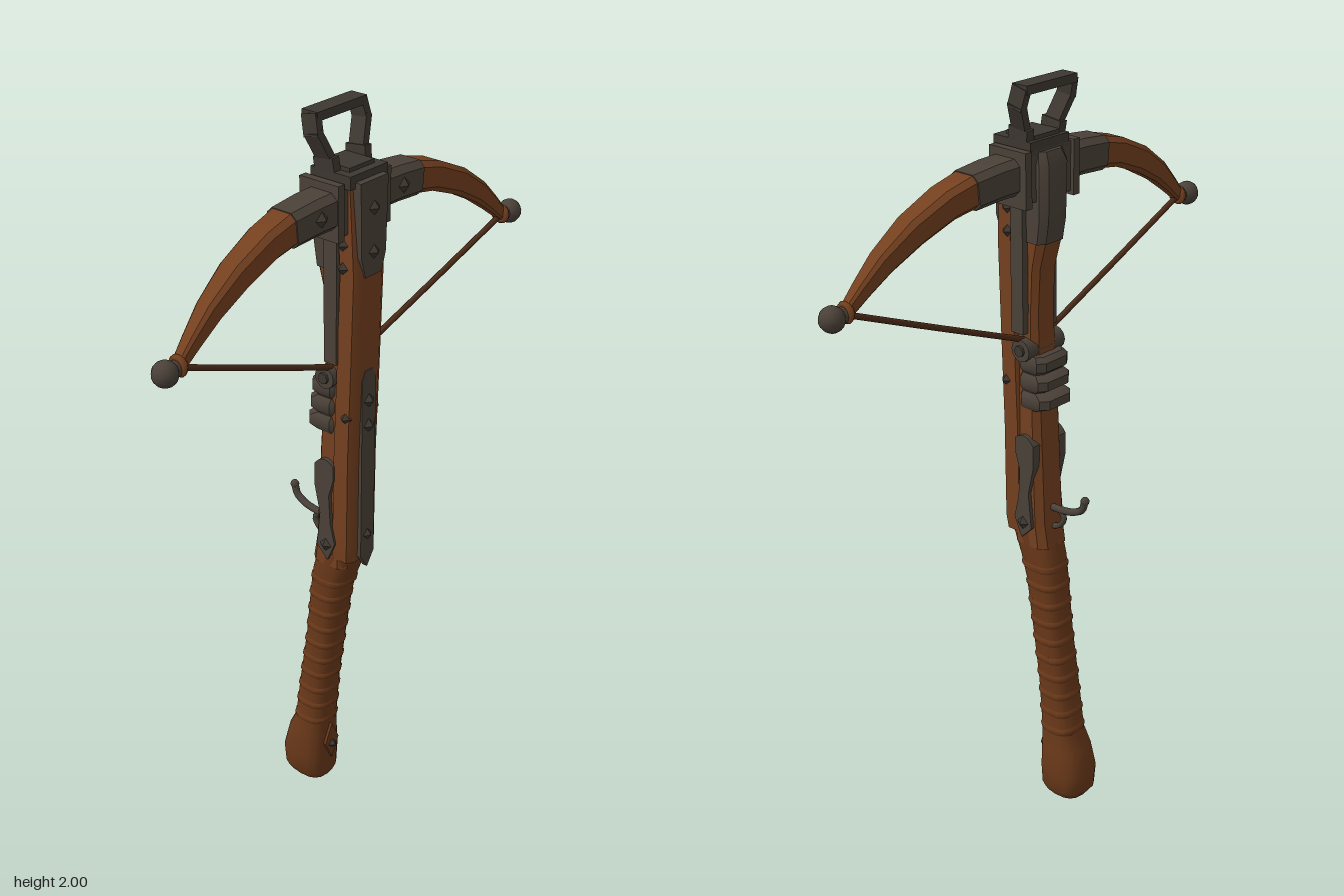
import * as THREE from 'three';
import { toCreasedNormals } from 'three/addons/utils/BufferGeometryUtils.js';

const mat = (name, color) => Object.assign(new THREE.MeshStandardMaterial({ color }), { name });
const V = (x, y, z) => new THREE.Vector3(x, y, z);

// unit cross-sections
const OCT = [[1, -.65], [1, .65], [.65, 1], [-.65, 1], [-1, .65], [-1, -.65], [-.65, -1], [.65, -1]];
const ROUND = Array.from({ length: 16 }, (_, i) => {
  const t = i / 16 * Math.PI * 2, c = Math.cos(t), s = Math.sin(t);
  return [Math.sign(c) * Math.abs(c) ** .75, Math.sign(s) * Math.abs(s) ** .75];
});

// skin a row of rings, closing both ends
function skin(rings, crease = .6) {
  const n = rings[0].length, pos = [], idx = [];
  rings.forEach(r => r.forEach(p => pos.push(p.x, p.y, p.z)));
  for (let i = 0; i < rings.length - 1; i++) for (let j = 0; j < n; j++) {
    const k = (j + 1) % n, a = i * n + j, b = i * n + k;
    idx.push(a, a + n, b, b, a + n, b + n);
  }
  const e = (rings.length - 1) * n;
  for (let j = 1; j < n - 1; j++) idx.push(0, j, j + 1, e, e + j + 1, e + j);
  const g = new THREE.BufferGeometry();
  g.setAttribute('position', new THREE.Float32BufferAttribute(pos, 3));
  g.setIndex(idx);
  return toCreasedNormals(g, crease);
}

// upright loft from rows of [y, front z, back z, half width]
const upright = (rows, shape = OCT) => skin(rows.map(([y, f, b, w]) =>
  shape.map(([u, v]) => V(u * w, y, (f + b) / 2 + v * (f - b) / 2))));

export function createModel() {
  const wood = mat('wood', 0x74401f), grip = mat('grip leather', 0x693819);
  const metal = mat('aged metal', 0x4a4138), dark = mat('dark metal', 0x3e3731);
  const cord = mat('bowstring', 0x4c2b18);
  const model = new THREE.Group();
  model.name = 'crossbow';
  const add = (name, geo, m, x = 0, y = 0, z = 0) => {
    const o = new THREE.Mesh(geo, m);
    o.name = name;
    o.position.set(x, y, z);
    model.add(o);
    return o;
  };
  const box = (name, m, x0, x1, y0, y1, z0, z1) => add(name,
    new THREE.BoxGeometry(x1 - x0, y1 - y0, z1 - z0), m, (x0 + x1) / 2, (y0 + y1) / 2, (z0 + z1) / 2);
  // pointed stud: axis 'z' faces forward, otherwise sideways
  const stud = (x, y, z, axis = 'z', r = .018) => {
    const g = new THREE.CylinderGeometry(.003, r, .016, 4).toNonIndexed();
    g.computeVertexNormals();
    if (axis === 'z') g.rotateX(Math.PI / 2); else g.rotateZ(-Math.sign(x) * Math.PI / 2);
    add('stud', g, dark, x, y, z);
  };

  // handle with flared butt
  const handle = [[0, -.008, -.125, .05], [.02, 0, -.14, .062], [.08, .002, -.144, .066], [.15, .001, -.126, .06],
    [.2, .002, -.102, .053], [.35, .016, -.083, .049], [.5, .037, -.06, .049], [.65, .06, -.045, .05],
    [.72, .08, -.036, .052], [.8, .11, -.014, .054]];
  add('handle', upright(handle, ROUND), grip);
  const at = y => {
    const i = handle.findIndex(r => r[0] > y), a = handle[i - 1], b = handle[i], t = (y - a[0]) / (b[0] - a[0]);
    return a.map((v, k) => v + (b[k] - v) * t);
  };
  for (let y = .21; y < .71; y += .054) {
    const grow = (h, e) => { const [, f, b, w] = at(h); return [h, f + e, b - e, w + e]; };
    add('gripWrap', upright([grow(y - .01, 0), grow(y - .004, .003), grow(y + .004, .003), grow(y + .01, 0)], ROUND), grip);
  }
  const diamond = new THREE.Shape([[0, .07], [.028, .13], [0, .19], [-.028, .13]].map(p => new THREE.Vector2(...p)));
  add('buttPlate', new THREE.ExtrudeGeometry(diamond, { depth: .008, bevelEnabled: false }), grip, 0, 0, .001);
  stud(0, .12, .013);

  // stock: wider front rail over a narrower rear tiller
  add('frontRail', upright([[.79, .113, .045, .052], [.83, .118, .045, .056], [1.1, .12, .05, .056],
    [1.35, .128, .06, .056], [1.6, .135, .07, .056], [1.82, .122, .06, .056]]), wood);
  add('rearTiller', upright([[.76, .09, -.024, .052], [.83, .09, -.012, .052], [1.1, .09, .0, .05],
    [1.3, .09, .01, .046], [1.42, .09, .014, .042], [1.53, .09, .008, .042], [1.62, .09, -.016, .044]]), wood);
  add('rearCap', upright([[1.6, .07, -.014, .047], [1.66, .07, -.024, .048], [1.8, .07, -.026, .05], [1.83, .06, -.012, .04]]), metal);
  for (const s of [-1, 1]) {
    box('upperSideStrip', metal, s * .05 - .012, s * .05 + .012, 1.36, 1.8, .035, .075);
    for (const y of [1.68, 1.62]) stud(s * .062, y, .09, 'x');
    stud(s * .066, .83, .04, 'x', .024);
    stud(s * .06, 1.22, .1, 'x');
  }

  // metal strips along the front
  const strip = new THREE.Shape([[0, .77], [.026, .81], [.026, 1.32], [.014, 1.345], [-.014, 1.345], [-.026, 1.32],
    [-.026, .81]].map(p => new THREE.Vector2(...p)));
  const stripGeo = new THREE.ExtrudeGeometry(strip, { depth: .016, bevelEnabled: false });
  add('frontStrip', stripGeo, metal, 0, 0, .113);
  const headPlate = new THREE.Shape([[-.05, 1.84], [-.045, 1.65], [-.03, 1.6], [.03, 1.6], [.045, 1.65], [.05, 1.84]]
    .map(p => new THREE.Vector2(...p)));
  add('headPlate', new THREE.ExtrudeGeometry(headPlate, { depth: .03, bevelEnabled: false }), metal, 0, 0, .109)
    .geometry.rotateX(0);
  for (const [y, z] of [[1.77, .144], [1.66, .144], [1.26, .134], [1.19, .134], [.87, .132]]) stud(0, y, z, 'z', .022);

  // side lock plates, one slab passing through the stock
  const lock = new THREE.Shape();
  lock.moveTo(-.07, .84);
  lock.lineTo(-.045, .785);
  lock.lineTo(-.01, .82);
  lock.lineTo(-.02, .92);
  lock.lineTo(-.002, 1.0);
  lock.lineTo(-.002, 1.06);
  lock.quadraticCurveTo(-.03, 1.1, -.065, 1.07);
  lock.lineTo(-.065, 1.03);
  lock.lineTo(-.05, .98);
  lock.lineTo(-.055, .9);
  lock.closePath();
  const lockGeo = new THREE.ExtrudeGeometry(lock, { depth: .124, bevelEnabled: false });
  lockGeo.rotateY(Math.PI / 2).translate(-.062, 0, 0);
  add('lockPlates', lockGeo, metal);

  // binding bands and string pivot behind the rail
  [1.18, 1.23, 1.28].forEach((y, i) => add('binding', upright([[y - .024, .06, -.008, .05],
    [y - .012, .065, -.034 + i * .006, .058], [y + .012, .065, -.034 + i * .006, .058], [y + .024, .06, -.008, .05]]), metal));
  add('stringPivot', new THREE.CylinderGeometry(.03, .03, .134, 12).rotateZ(Math.PI / 2), metal, 0, 1.318, .04);
  add('pivotPin', new THREE.CylinderGeometry(.015, .015, .148, 8).rotateZ(Math.PI / 2), dark, 0, 1.318, .04);

  // trigger and its small catch
  const tube = (name, pts, r, m) => add(name,
    new THREE.TubeGeometry(new THREE.CatmullRomCurve3(pts.map(p => V(...p))), 14, r, 7), m);
  tube('trigger', [[0, .87, .01], [0, .872, -.045], [0, .88, -.085], [0, .898, -.113], [0, .925, -.122]], .01, metal);
  tube('triggerCatch', [[0, .875, -.03], [0, .85, -.05], [0, .825, -.035], [0, .81, .0]], .008, metal);
  add('triggerTip', new THREE.SphereGeometry(.012, 8, 6), metal, 0, .925, -.122);

  // head collar, cap and stirrup
  box('headCollar', metal, -.085, .085, 1.71, 1.835, .0, .105);
  for (const s of [-1, 1]) box('collarFlange', metal, s * .085 - .011, s * .085 + .011, 1.7, 1.84, -.01, .11);
  box('headCap', dark, -.068, .068, 1.825, 1.858, .0, .122);
  box('headBridge', dark, -.045, .045, 1.845, 1.868, .01, .1);
  const bar = (a, b, w, d) => {
    const o = box('stirrup', dark, -w / 2, w / 2, 0, a.distanceTo(b) + .012, -d / 2, d / 2);
    o.position.copy(a).add(b).multiplyScalar(.5);
    o.quaternion.setFromUnitVectors(V(0, 1, 0), b.clone().sub(a).normalize());
  };
  for (const s of [-1, 1]) {
    bar(V(s * .055, 1.84, .045), V(s * .058, 1.882, .04), .024, .06);
    bar(V(s * .058, 1.882, .04), V(s * .086, 1.945, .026), .02, .045);
    bar(V(s * .086, 1.945, .026), V(s * .082, 1.985, .016), .02, .045);
  }
  bar(V(-.082, 1.987, .016), V(.082, 1.987, .016), .022, .048);

  // bow limbs: rows of [x, y, z, half height, half depth]
  const limb = [[.22, 1.77, .058, .041, .043], [.3, 1.752, .062, .038, .04], [.4, 1.71, .067, .035, .035],
    [.49, 1.655, .072, .028, .027], [.55, 1.605, .076, .021, .02], [.6, 1.56, .079, .015, .014]];
  const socket = [[.07, 1.775, .058, .046, .049], [.15, 1.774, .058, .045, .049], [.23, 1.767, .058, .044, .046]];
  const limbGeo = (rows, s) => skin(rows.map(([x, y, z, h, d], i) => {
    const a = rows[Math.max(i - 1, 0)], b = rows[Math.min(i + 1, rows.length - 1)];
    const l = Math.hypot(b[0] - a[0], b[1] - a[1]), dx = (b[0] - a[0]) / l, dy = (b[1] - a[1]) / l;
    return OCT.map(([u, v]) => V(s * (x - dy * u * h), y + dx * u * h, z - s * v * d));
  }));
  for (const s of [-1, 1]) {
    add('bowLimb', limbGeo(limb, s), wood);
    add('limbSocket', limbGeo(socket, s), metal);
    stud(s * .15, 1.775, .112, 'z', .024);
    const ring = add('tipRing', new THREE.TorusGeometry(.019, .009, 6, 12), wood, s * .597, 1.563, .079);
    ring.rotation.y = Math.PI / 2;
    add('tipKnob', new THREE.SphereGeometry(.032, 12, 9), metal, s * .638, 1.558, .079);
    add('tipNeck', new THREE.CylinderGeometry(.02, .02, .03, 10).rotateZ(Math.PI / 2), metal, s * .612, 1.559, .079);
    tube('bowstring', [[s * .592, 1.556, .079], [s * .32, 1.448, .063], [s * .03, 1.335, .046]], .008, cord);
  }
  return model;
}
